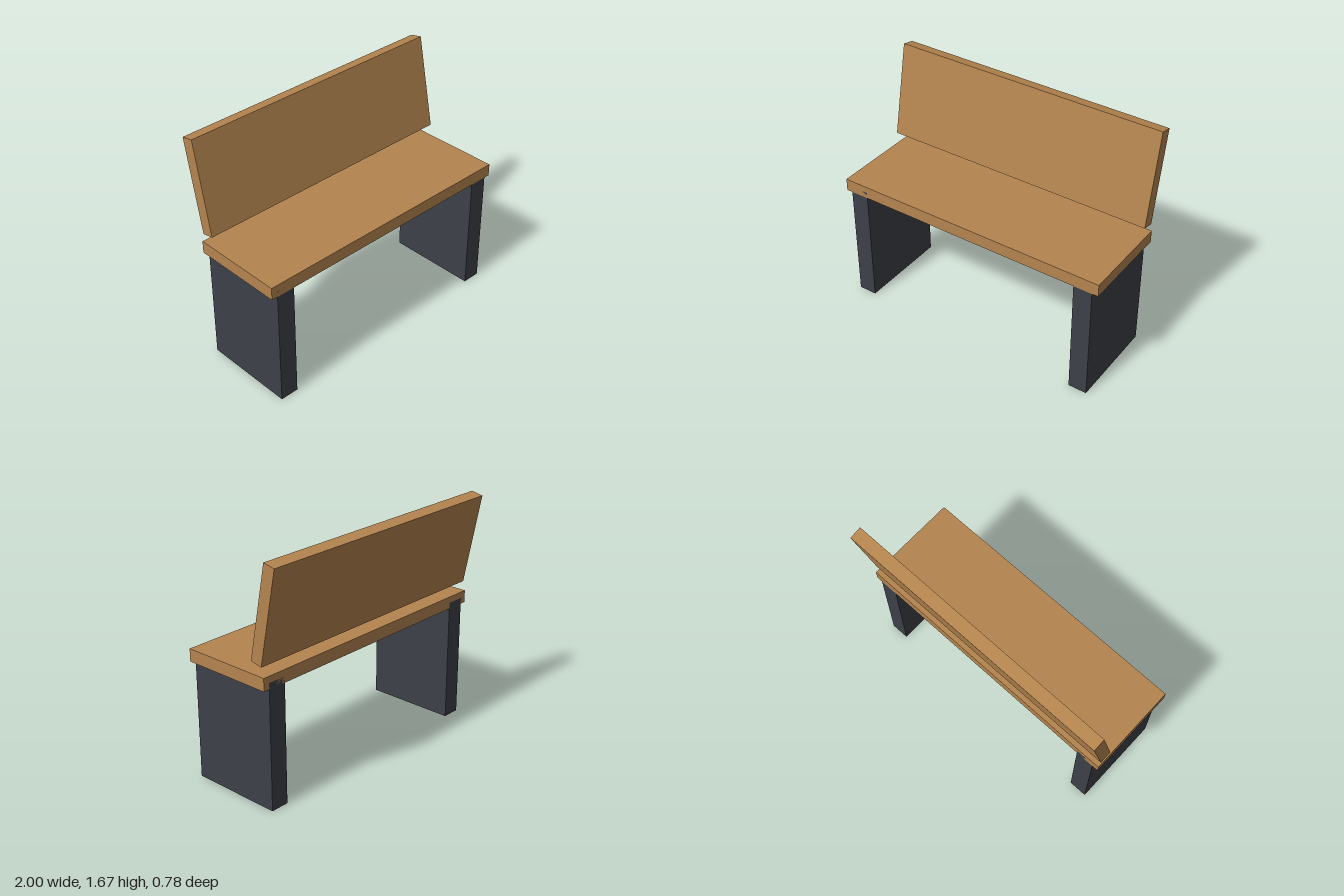
import * as THREE from 'three';

export function createModel() {
  const bench = new THREE.Group();
  bench.name = 'bench';
  const wood = new THREE.MeshStandardMaterial({ color: 0xb5854f });
  const slate = new THREE.MeshStandardMaterial({ color: 0x3d4048 });

  const addBox = (name, size, position, material) => {
    const mesh = new THREE.Mesh(new THREE.BoxGeometry(...size), material);
    mesh.name = name;
    mesh.position.set(...position);
    bench.add(mesh);
    return mesh;
  };

  // Seat plank
  const depth = 0.666, seatZ = 0.057;
  addBox('seat', [2, 0.089, depth], [0, 0.8905, seatZ], wood);

  // Slab legs, let into the underside of the seat
  for (const [name, side] of [['leftLeg', 1], ['rightLeg', -1]]) {
    addBox(name, [0.133, 0.89, depth], [side * 0.889, 0.445, seatZ], slate);
  }

  // Backrest plank, floating above the seat and leaning backwards
  const backrest = addBox('backrest', [2, 0.666, 0.089], [0, 1.336, -0.279], wood);
  backrest.rotation.x = -0.197;

  return bench;
}
